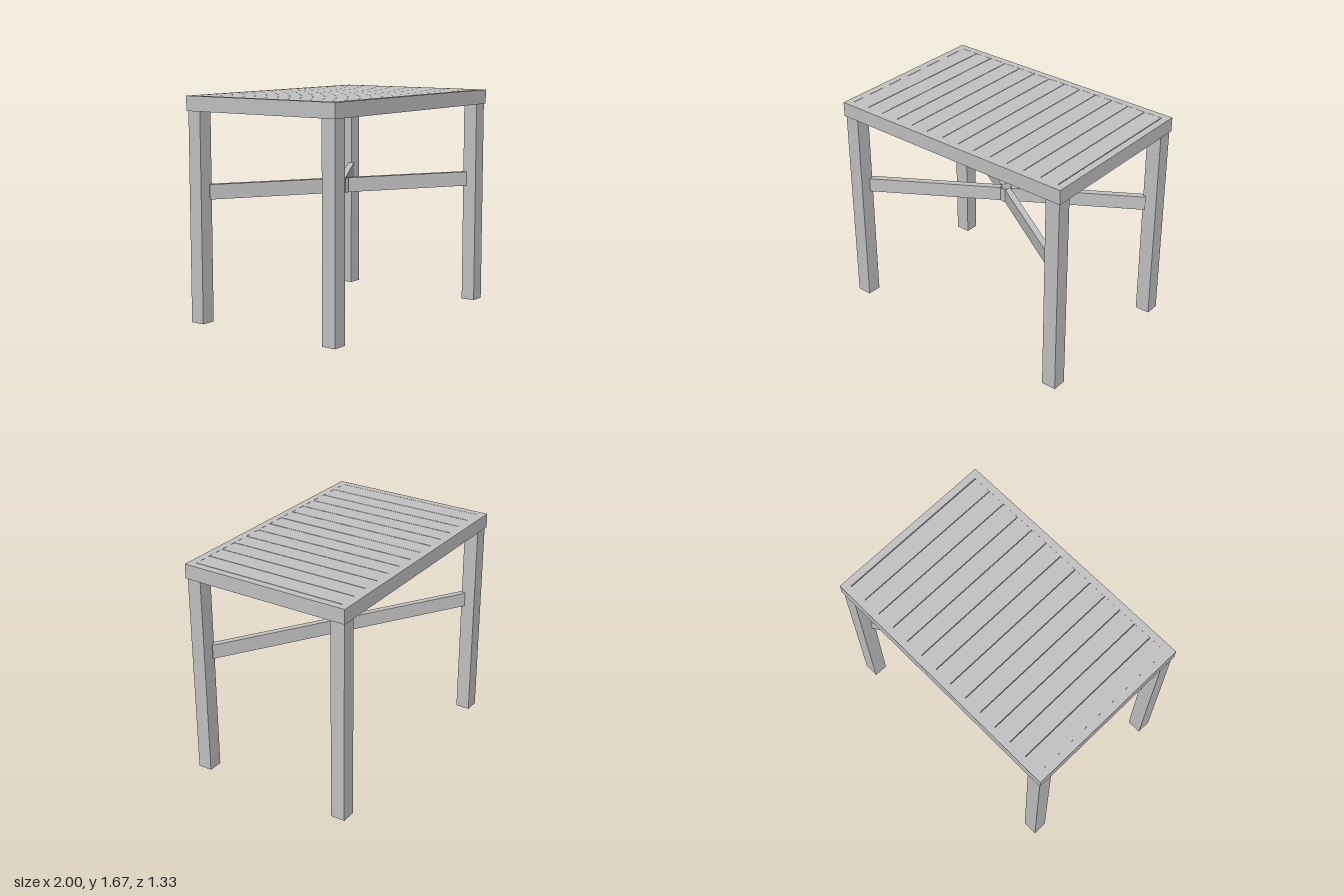
import * as THREE from 'three';

export function createModel() {
  const table = new THREE.Group();
  table.name = 'table';
  const metal = new THREE.MeshStandardMaterial({ color: 0xc2c2c2 });
  metal.name = 'light grey';

  function add(name, geometry, x = 0, y = 0, z = 0, turn = 0) {
    const mesh = new THREE.Mesh(geometry, metal);
    mesh.name = name;
    mesh.position.set(x, y, z);
    mesh.rotation.y = turn;
    table.add(mesh);
    return mesh;
  }

  // Rectangular tube standing upright from y = 0
  function rectTube(w, d, wall, height) {
    const outline = (a, b, Kind) => new Kind([
      new THREE.Vector2(-a, -b), new THREE.Vector2(a, -b),
      new THREE.Vector2(a, b), new THREE.Vector2(-a, b),
    ]);
    const shape = outline(w / 2, d / 2, THREE.Shape);
    shape.holes.push(outline(w / 2 - wall, d / 2 - wall, THREE.Path));
    const geo = new THREE.ExtrudeGeometry(shape, { depth: height, bevelEnabled: false });
    return geo.rotateX(-Math.PI / 2);
  }

  // Round open tube standing upright from y = 0
  function roundTube(radius, wall, height) {
    const shape = new THREE.Shape().absarc(0, 0, radius, 0, Math.PI * 2);
    shape.holes.push(new THREE.Path().absarc(0, 0, radius - wall, 0, Math.PI * 2, true));
    const geo = new THREE.ExtrudeGeometry(shape, { depth: height, bevelEnabled: false, curveSegments: 24 });
    return geo.rotateX(-Math.PI / 2);
  }

  // Frame round the top
  add('topFrame', rectTube(2, 1.33, 0.055, 0.11), 0, 1.56, 0);

  // Slats laid across the top with narrow gaps
  const count = 13, pitch = 1.888 / count;
  for (let i = 0; i < count; i++) {
    const x = -0.945 + pitch * (i + 0.5) - 0.002;
    add('slat', new THREE.BoxGeometry(pitch - 0.005, 0.028, 1.222), x, 1.655, 0);
  }

  // Lengthwise rails under the slats, and the short bar that holds the socket
  for (const z of [-0.56, -0.21, 0.21, 0.56]) {
    add('rail', new THREE.BoxGeometry(1.89, 0.045, 0.045), 0, 1.6185, z);
  }
  add('socketBar', new THREE.BoxGeometry(0.045, 0.045, 0.4), 0, 1.6185, 0);
  add('parasolSocket', roundTube(0.05, 0.007, 0.12), 0, 1.52, 0);

  // Hollow legs, with a brace from each to the central ring
  const angle = Math.atan2(0.545, 0.875);
  const inner = 0.036, outer = 1.05;
  for (const sx of [-1, 1]) {
    for (const sz of [-1, 1]) {
      add('leg', rectTube(0.114, 0.11, 0.008, 1.64), sx * 0.932, 0, sz * 0.6);
      const mid = (inner + outer) / 2;
      add('brace', new THREE.BoxGeometry(outer - inner, 0.11, 0.047),
        sx * mid * Math.cos(angle), 0.97, sz * mid * Math.sin(angle), -sx * sz * angle);
    }
  }
  add('braceRing', roundTube(0.045, 0.006, 0.112), 0, 0.914, 0);

  return table;
}
